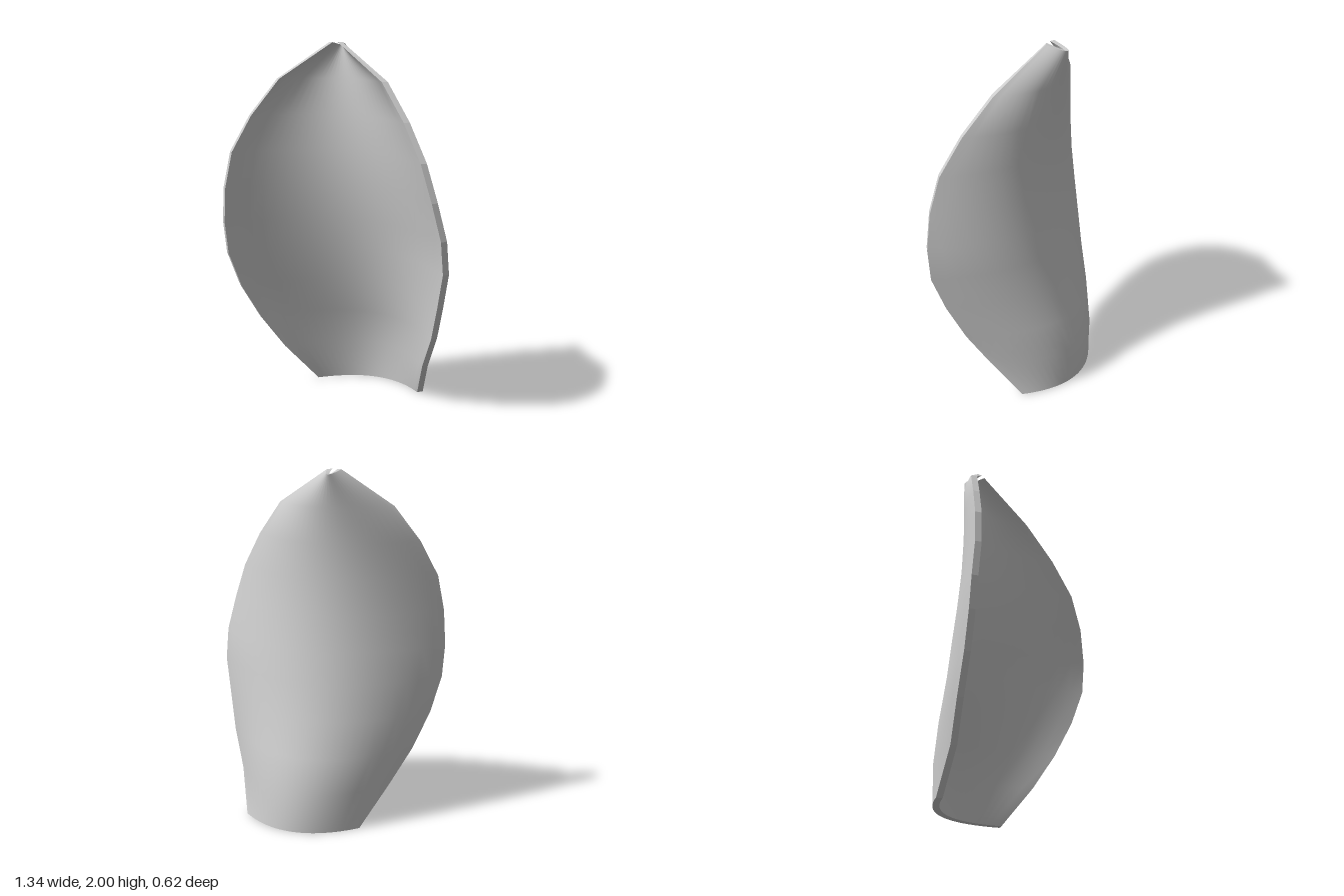
import * as THREE from 'three';

// Horizontal sections: y, left x, right x, front edge z, back spine z
const SECTIONS = [
  [0.0, -0.29, 0.39, -0.12, -0.31],
  [0.22, -0.42, 0.475, 0.04, -0.305],
  [0.42, -0.53, 0.56, 0.14, -0.25],
  [0.62, -0.61, 0.62, 0.225, -0.185],
  [0.82, -0.66, 0.667, 0.28, -0.14],
  [1.0, -0.67, 0.66, 0.30, -0.10],
  [1.2, -0.655, 0.61, 0.31, -0.07],
  [1.4, -0.62, 0.54, 0.29, -0.055],
  [1.6, -0.53, 0.42, 0.225, -0.06],
  [1.8, -0.40, 0.26, 0.135, -0.08],
  [2.0, -0.13, -0.05, 0.013, -0.115],
];
const COLS = 24;

// Parabolic cross-sections, with the inner skin inset from the outer one
function skinPoints(inner) {
  return SECTIONS.map(([y, left, right, edge, spine], j) => {
    const tip = j === SECTIONS.length - 1;
    const mid = (left + right) / 2;
    const half = (right - left) / 2 - (inner ? 0.025 : 0);
    const back = spine + (inner ? (tip ? 0.03 : 0.04) : 0);
    const front = edge - (inner ? 0 : tip ? 0.012 : 0.025);
    return Array.from({ length: COLS + 1 }, (_, i) => {
      const t = (i / COLS) * 2 - 1;
      const dip = tip ? 0.018 * (1 - t * t) : 0; // the tip sinks at its notch
      return new THREE.Vector3(mid + half * t, y - dip, back + (front - back) * t * t);
    });
  });
}

// Smooth curved sheet
function skinGeometry(rows, faceBack) {
  const index = [];
  for (let j = 0; j < rows.length - 1; j++) {
    for (let i = 0; i < COLS; i++) {
      const a = j * (COLS + 1) + i, b = a + 1, c = b + COLS + 1, d = a + COLS + 1;
      if (faceBack) index.push(a, c, b, a, d, c);
      else index.push(a, b, c, a, c, d);
    }
  }
  const geometry = new THREE.BufferGeometry().setFromPoints(rows.flat());
  geometry.setIndex(index);
  geometry.computeVertexNormals();
  return geometry;
}

// Closed border, anticlockwise as seen from the front
function border(rows) {
  const last = rows.length - 1;
  return [
    ...rows[0],
    ...rows.slice(1, last).map((r) => r[COLS]),
    ...[...rows[last]].reverse(),
    ...rows.slice(1, last).map((r) => r[0]).reverse(),
  ];
}

// Hard-edged strip that closes the thickness
function rimGeometry(outer, inner) {
  const o = border(outer), n = border(inner), points = [];
  o.forEach((p, k) => {
    const m = (k + 1) % o.length;
    points.push(p, o[m], n[m], p, n[m], n[k]);
  });
  const geometry = new THREE.BufferGeometry().setFromPoints(points);
  geometry.computeVertexNormals();
  return geometry;
}

export function createModel() {
  const group = new THREE.Group();
  group.name = 'curvedPetal';
  const material = new THREE.MeshStandardMaterial({ color: 0xcccccc });
  material.name = 'light grey';
  const add = (name, geometry) => {
    const mesh = new THREE.Mesh(geometry, material);
    mesh.name = name;
    group.add(mesh);
  };

  const outer = skinPoints(false), inner = skinPoints(true);
  add('outerSkin', skinGeometry(outer, true));
  add('innerSkin', skinGeometry(inner, false));
  add('rim', rimGeometry(outer, inner));
  return group;
}
